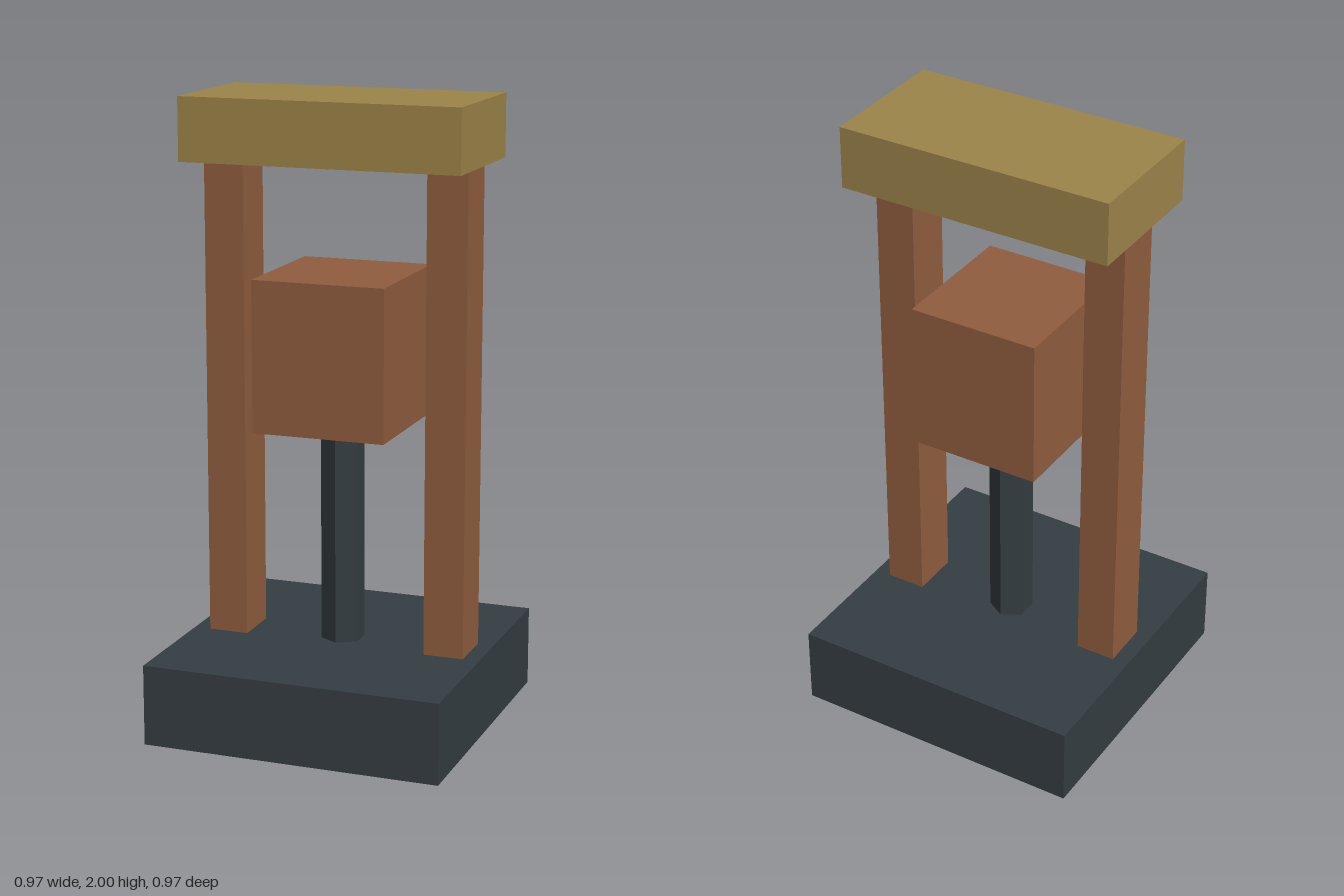
import * as THREE from 'three';

const paint = (color) => new THREE.MeshStandardMaterial({ color, flatShading: true });

export function createModel() {
  const model = new THREE.Group();
  model.name = 'pistonFrame';

  const iron = paint(0x343d42);
  const copper = paint(0x905d3f);
  const brass = paint(0x9c8449);

  // Adds a part centred at (x, z) whose underside sits at height y
  const add = (name, geometry, height, material, x, y) => {
    const mesh = new THREE.Mesh(geometry, material);
    mesh.name = name;
    mesh.position.set(x, y + height / 2, 0);
    model.add(mesh);
  };
  const box = (name, w, h, d, material, x, y) =>
    add(name, new THREE.BoxGeometry(w, h, d), h, material, x, y);

  // Square base and top beam
  box('base', 0.966, 0.26, 0.966, iron, 0, 0);
  box('topBeam', 0.904, 0.2, 0.452, brass, 0, 1.8);

  // Two uprights joining base and beam
  for (const [name, side] of [['leftPost', 1], ['rightPost', -1]]) {
    box(name, 0.13, 1.54, 0.162, copper, side * 0.365, 0.26);
  }

  // Hexagonal rod carrying the block
  add('rod', new THREE.CylinderGeometry(0.07, 0.07, 0.71, 6), 0.71, iron, 0, 0.26);
  box('block', 0.43, 0.482, 0.452, copper, 0, 0.968);

  return model;
}
